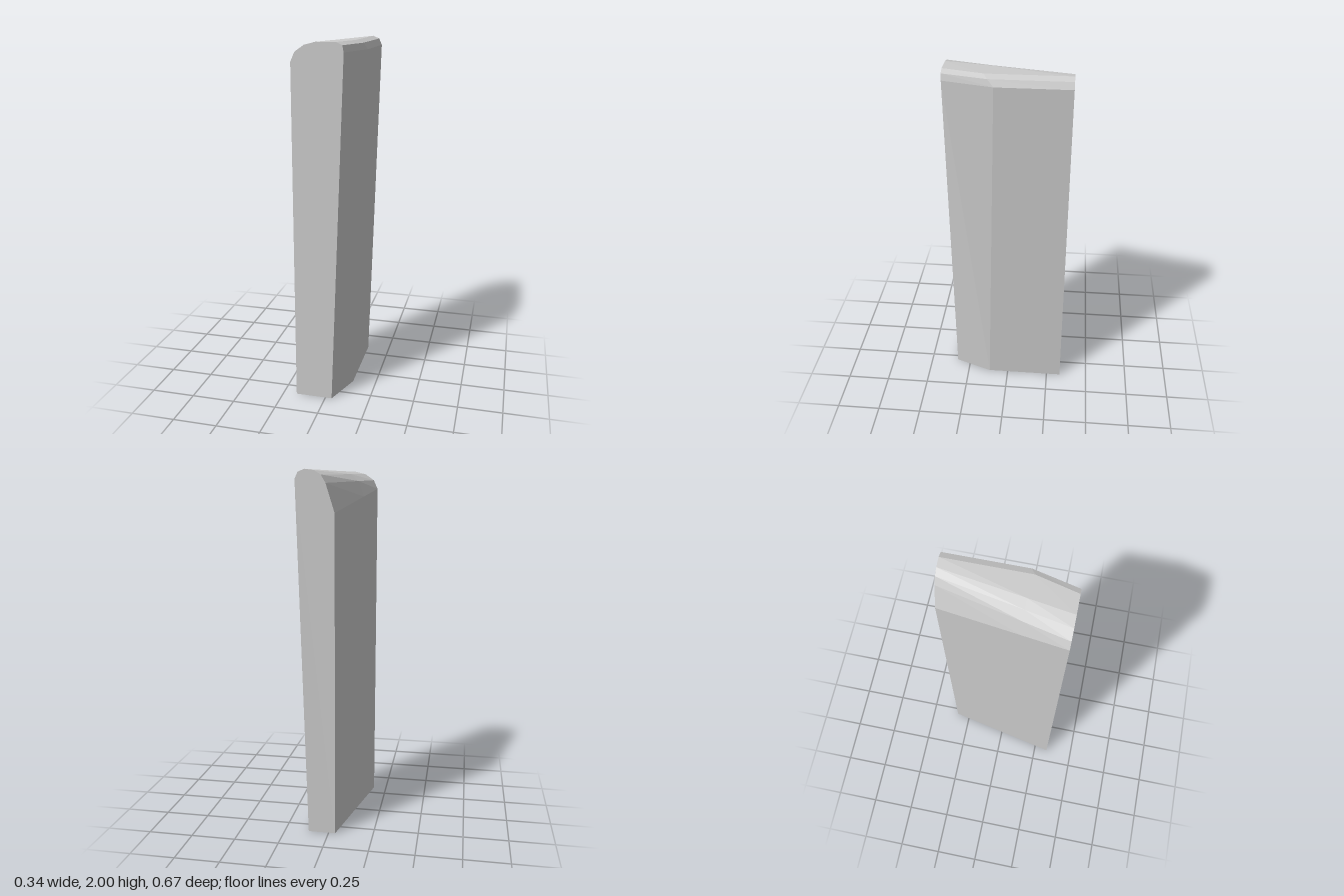
import * as THREE from 'three';

// Outlines run clockwise as seen from the front: up the left, over the top, down the right
const DEPTH = 0.333;
const front = [[-0.173, 0], [-0.173, 1.9], [-0.15, 1.95], [-0.1, 1.985], [-0.04, 2],
  [0.065, 2], [0.098, 1.985], [0.105, 1.95], [0.037, 0]].map(([x, y]) => [x, y, DEPTH]);
const back = [[-0.037, 0], [-0.037, 1.78], [0.01, 1.93], [0.035, 1.972], [0.07, 1.993],
  [0.12, 2], [0.155, 1.985], [0.171, 1.95], [0.115, 0]].map(([x, y]) => [x, y, -DEPTH]);

// Depth at which each point of the +x side bends towards the front
const bendZ = [0.1, 0.1, 0.1, 0.1, 0.1, 0.115, 0.095, 0.063, 0.116];
const bend = back.map(([x, y], i) => {
  const z = bendZ[i];
  if (i >= 5) return [x, y, z];
  const t = (DEPTH - z) / (2 * DEPTH);
  return [0, 1, 2].map((k) => THREE.MathUtils.lerp(front[i][k], back[i][k], t));
});

function loft(sections) {
  const positions = [];
  const tri = (...corners) => corners.forEach((c) => positions.push(...c));
  const n = sections[0].length;
  // Skin between neighbouring sections
  for (let s = 0; s < sections.length - 1; s++) {
    const a = sections[s], b = sections[s + 1];
    for (let i = 0; i < n; i++) {
      const j = (i + 1) % n;
      tri(a[i], a[j], b[j]);
      tri(a[i], b[j], b[i]);
    }
  }
  // End faces
  const first = sections[0], last = sections[sections.length - 1];
  for (let i = 1; i < n - 1; i++) {
    tri(first[0], first[i + 1], first[i]);
    tri(last[0], last[i], last[i + 1]);
  }
  const geometry = new THREE.BufferGeometry();
  geometry.setAttribute('position', new THREE.Float32BufferAttribute(positions, 3));
  geometry.computeVertexNormals();
  return geometry;
}

export function createModel() {
  const group = new THREE.Group();
  group.name = 'slab';
  const material = new THREE.MeshStandardMaterial({ color: 0xcccccc, flatShading: true });
  const slab = new THREE.Mesh(loft([front, bend, back]), material);
  slab.name = 'taperedSlab';
  group.add(slab);
  return group;
}
